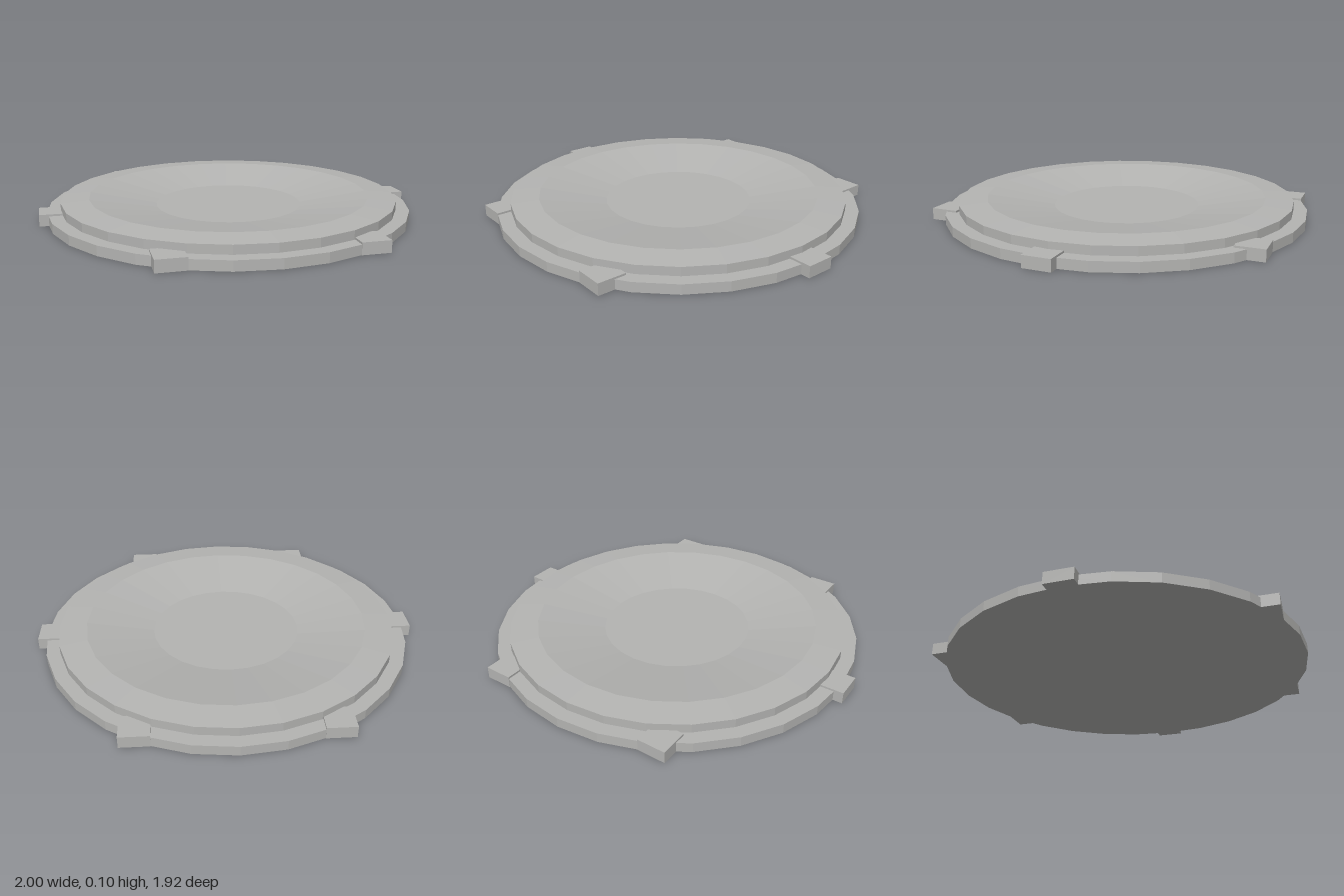
import * as THREE from 'three';

export function createModel() {
  const model = new THREE.Group();
  model.name = 'dishPlate';
  const grey = new THREE.MeshStandardMaterial({ color: 0xb4b4b2, flatShading: true });
  grey.name = 'light grey';

  const add = (name, geometry) => {
    const mesh = new THREE.Mesh(geometry, grey);
    mesh.name = name;
    model.add(mesh);
    return mesh;
  };
  // 28-sided turned part from [radius, height] pairs, listed from the bottom up
  const turned = (points) =>
    new THREE.LatheGeometry(points.map(([r, y]) => new THREE.Vector2(r, y)), 28);

  // Flat underside and stepped outer flange
  add('baseFlange', turned([[0, 0], [0.96, 0], [0.96, 0.05], [0.89, 0.05]]));

  // Raised wall, gently sloped rim and shallow dish with a flat floor
  add('dish', turned([[0.89, 0.05], [0.89, 0.095], [0.745, 0.105], [0.39, 0.045], [0, 0.045]]));

  // Six square lugs around the flange, all aligned with the axes
  const lug = new THREE.BoxGeometry(0.145, 0.06, 0.145);
  for (let i = 0; i < 6; i++) {
    const a = (i * Math.PI) / 3;
    add('lug' + (i + 1), lug).position.set(Math.cos(a) * 0.9275, 0.03, Math.sin(a) * 0.9275);
  }
  return model;
}
